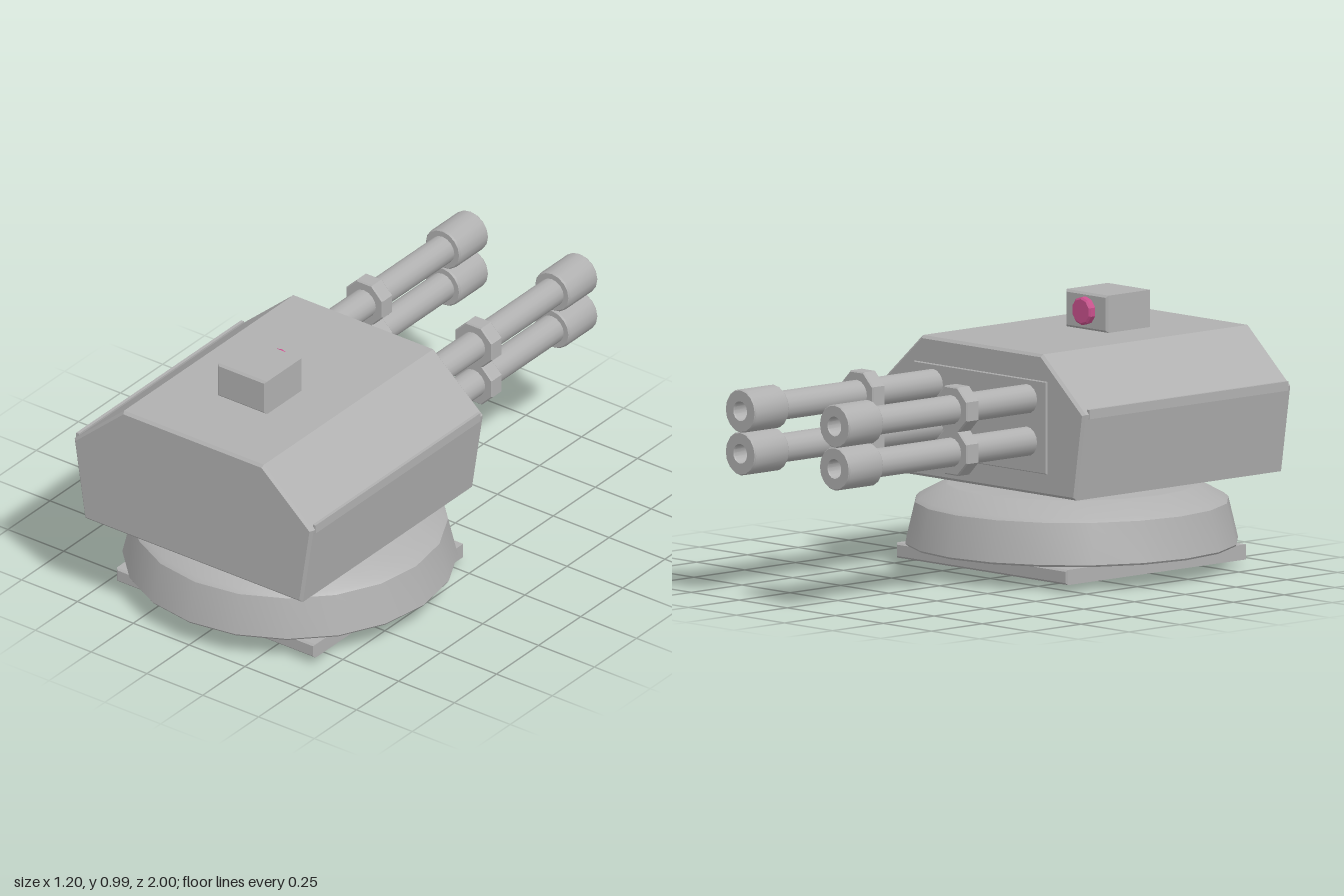
import * as THREE from 'three';
import { toCreasedNormals } from 'three/addons/utils/BufferGeometryUtils.js';

const grey = new THREE.MeshStandardMaterial({ color: 0xb0b0b0 });
grey.name = 'grey metal';
const pink = new THREE.MeshStandardMaterial({ color: 0xc8508c });
pink.name = 'pink lens';

const v2 = (pts) => pts.map(([x, y]) => new THREE.Vector2(x, y));

export function createModel() {
  const model = new THREE.Group();
  model.name = 'turret';

  const add = (name, geometry, material, x = 0, y = 0, z = 0, parent = model) => {
    const mesh = new THREE.Mesh(geometry, material);
    mesh.name = name;
    mesh.position.set(x, y, z);
    parent.add(mesh);
    return mesh;
  };
  const lathe = (pts, sides) => toCreasedNormals(new THREE.LatheGeometry(v2(pts), sides), 0.5);
  const flat = (g) => toCreasedNormals(g, 0.1);

  // Outline extruded along z with chamfered edges, from z = 0 to depth
  const chamfered = (outline, depth, c) => {
    const g = new THREE.ExtrudeGeometry(new THREE.Shape(v2(outline)), {
      depth: depth - 2 * c, bevelEnabled: true, bevelSegments: 1,
      bevelSize: c, bevelThickness: c, bevelOffset: -c,
    });
    return g.translate(0, 0, c);
  };
  const rect = (x, y0, y1) => [[-x, y0], [x, y0], [x, y1], [-x, y1]];

  // Mounting plate with a recessed underside panel and bolts
  add('mountPlate', chamfered(rect(0.445, 0.03, 0.085), 0.89, 0.007), grey, 0, 0, -0.045);
  add('mountUnderside', new THREE.BoxGeometry(0.76, 0.006, 0.76), grey, 0, 0.028, 0.4);
  add('mountSpacer', new THREE.BoxGeometry(0.86, 0.008, 0.7), grey, 0, 0.088, 0.4);
  const bolt = flat(new THREE.LatheGeometry(v2([
    [0, 0.012], [0.016, 0.012], [0.02, 0], [0.031, 0], [0.036, 0.006], [0.036, 0.028],
  ]), 6).rotateY(Math.PI / 6));
  for (const x of [-0.27, 0.27])
    for (const z of [0.135, 0.67]) add('bolt', bolt, grey, x, 0, z);

  // Round swivel base
  add('swivelBase', lathe([
    [0, 0.09], [0.595, 0.09], [0.6, 0.097], [0.565, 0.245], [0.55, 0.258], [0.455, 0.308], [0.445, 0.31], [0, 0.31],
  ], 20), grey, 0, 0, 0.4);

  // Housing
  add('housing', chamfered([
    [-0.487, 0.34], [0.487, 0.34], [0.535, 0.655], [0.313, 0.85], [-0.313, 0.85], [-0.535, 0.655],
  ], 1.025, 0.01), grey, 0, 0, -0.045);
  for (const side of [-1, 1])
    add('sideRail', new THREE.BoxGeometry(0.012, 0.034, 0.98), grey, side * 0.53, 0.655, 0.47);
  add('gunPanel', chamfered(rect(0.345, 0.42, 0.755), 0.012, 0.003), grey, 0, 0, -0.052);

  // Four barrels in two stacked pairs, pointing to -z
  const barrel = lathe([
    [0, 0.03], [0.053, 0.03], [0.053, 0.83], [0.074, 0.83], [0.079, 0.836], [0.079, 0.995],
    [0.075, 1], [0.036, 1], [0.034, 0.995], [0.034, 0.92], [0, 0.92],
  ], 16).rotateX(-Math.PI / 2);
  const c = 0.09;
  const collar = flat(new THREE.LatheGeometry(v2([
    [0.05, -0.031], [c - 0.005, -0.031], [c, -0.026], [c, 0.026], [c - 0.005, 0.031], [0.05, 0.031],
  ]), 8).rotateY(Math.PI / 8).rotateX(-Math.PI / 2));
  for (const x of [-0.245, 0.245])
    for (const y of [0.53, 0.684]) {
      const gun = new THREE.Group();
      gun.name = 'gun';
      gun.position.set(x, y, 0);
      add('barrel', barrel, grey, 0, 0, 0, gun);
      add('collar', collar, grey, 0, 0, -0.395, gun);
      model.add(gun);
    }

  // Sensor box with its lens facing the guns
  add('sensorBox', chamfered(rect(0.11, 0.85, 0.985), 0.22, 0.008), grey, 0, 0, 0.47);
  const lens = flat(new THREE.LatheGeometry(v2([
    [0.051, 0], [0.051, 0.02], [0.044, 0.026], [0, 0.026],
  ]), 10).rotateX(-Math.PI / 2));
  add('sensorLens', lens, pink, 0, 0.92, 0.47);

  return model;
}
